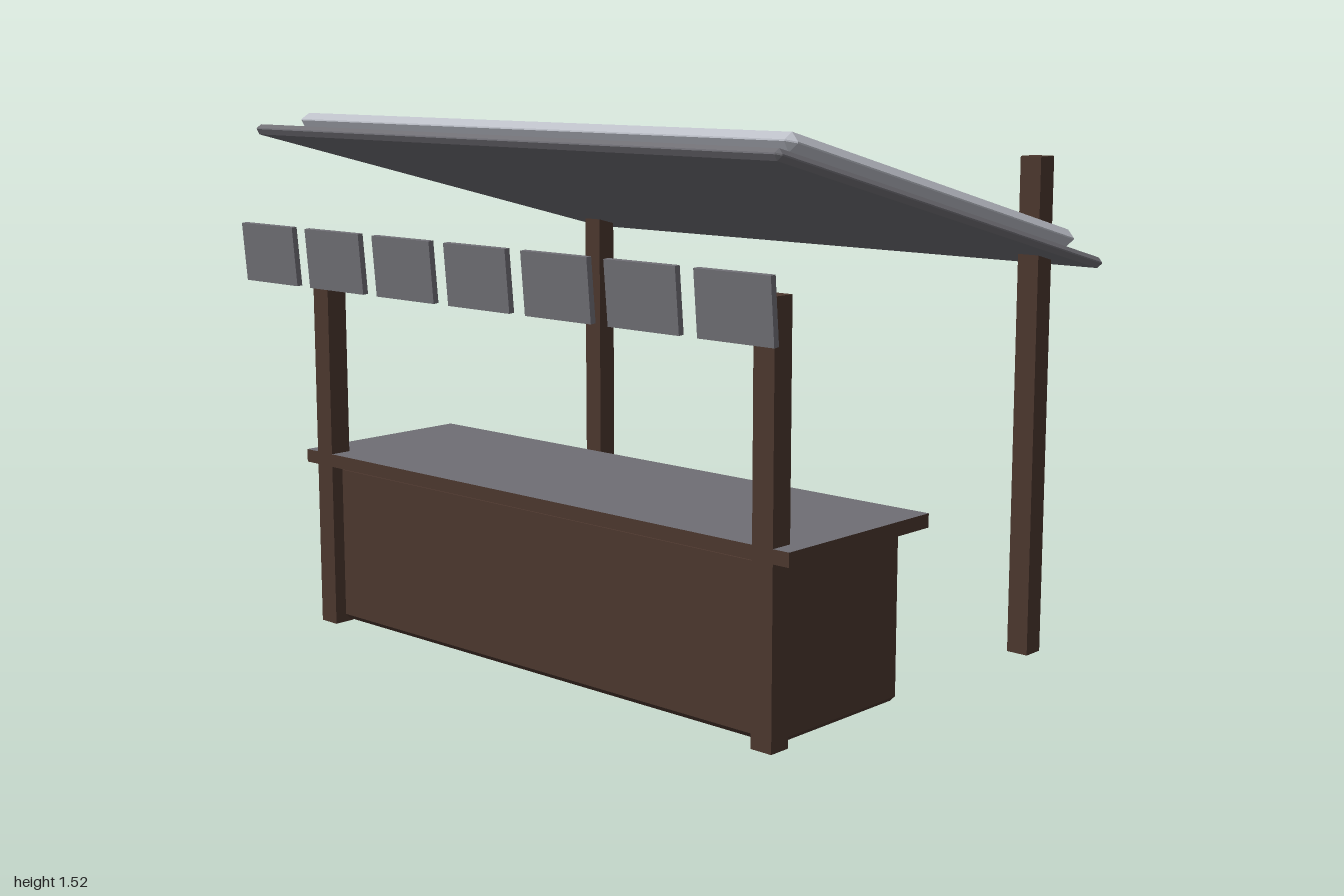
import * as THREE from 'three';
import { ConvexGeometry } from 'three/addons/geometries/ConvexGeometry.js';

function material(name, color) {
  const m = new THREE.MeshStandardMaterial({ color });
  m.name = name;
  return m;
}

// Box whose edges are all cut back by b
function chamferBox(w, h, d, b) {
  const [x, y, z] = [w / 2, h / 2, d / 2];
  const points = [];
  for (const i of [-1, 1]) for (const j of [-1, 1]) for (const k of [-1, 1]) {
    points.push(
      new THREE.Vector3(i * x, j * (y - b), k * (z - b)),
      new THREE.Vector3(i * (x - b), j * y, k * (z - b)),
      new THREE.Vector3(i * (x - b), j * (y - b), k * z),
    );
  }
  return new ConvexGeometry(points);
}

export function createModel() {
  const wood = material('dark wood', 0x4a362d);
  const grey = material('grey cloth', 0x6f6e74);
  const pale = material('pale roof', 0xbbbec7);

  const model = new THREE.Group();
  model.name = 'marketStall';

  function add(name, geometry, mat, x, y, z, tilt = 0) {
    const mesh = new THREE.Mesh(geometry, mat);
    mesh.name = name;
    mesh.position.set(x, y, z);
    mesh.rotation.x = tilt;
    model.add(mesh);
    return mesh;
  }

  // Four posts, the back pair taller and passing through the roof
  for (const [side, x] of [['right', -0.855], ['left', 0.842]]) {
    add(side + 'FrontPost', new THREE.BoxGeometry(0.066, 1.13, 0.065), wood, x, 0.565, 0.5385);
    add(side + 'BackPost', new THREE.BoxGeometry(0.066, 1.412, 0.065), wood, x, 0.706, -0.591);
  }

  // Counter with a grey-topped wooden board
  add('counterBody', chamferBox(1.74, 0.475, 0.5, 0.016), wood, -0.007, 0.2445, 0.284);
  add('counterTop', new THREE.BoxGeometry(1.865, 0.038, 0.568),
    [wood, wood, grey, wood, wood, wood], -0.007, 0.499, 0.287);

  // Sloping two-layer roof
  const slope = -0.25;
  add('roofBase', chamferBox(1.975, 0.03, 1.465, 0.013), grey, -0.01, 1.293, -0.025, slope);
  add('roofCover', chamferBox(1.865, 0.05, 1.295, 0.023), pale, -0.008, 1.338, -0.053, slope);

  // Row of hanging valance flaps
  const flap = new THREE.BoxGeometry(0.236, 0.168, 0.017);
  for (let i = 0; i < 7; i++) {
    add('valanceFlap' + (i + 1), flap, grey, (i - 3) * 0.294, 1.12, 0.721, 0.085);
  }
  return model;
}
